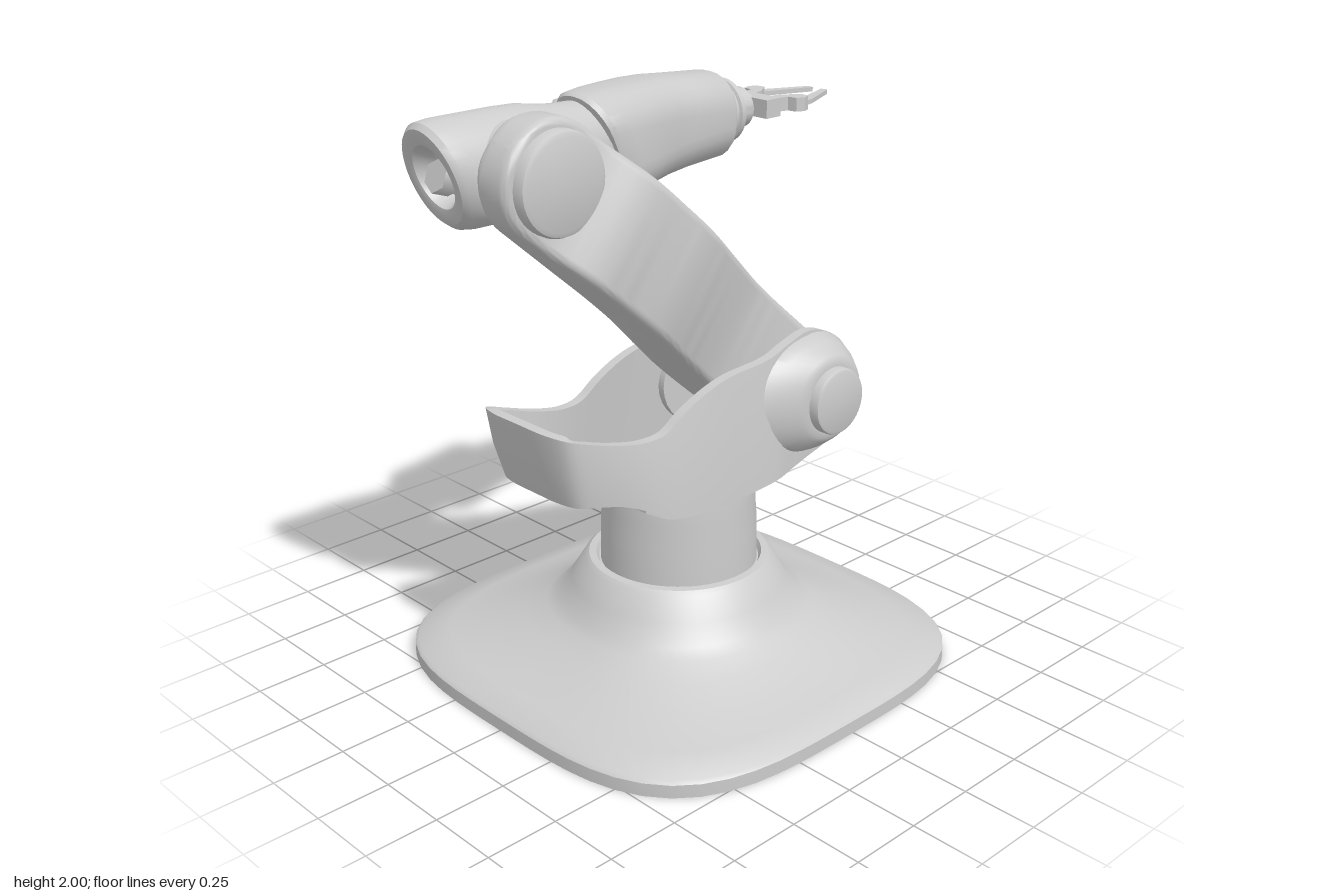
import * as THREE from 'three';
import { toCreasedNormals } from 'three/addons/utils/BufferGeometryUtils.js';

const V = (x, y, z) => new THREE.Vector3(x, y, z);

// Skin closed rings of equal length, cap both ends, and keep faces outward
function loft(rings, crease = 0.6) {
  const n = rings[0].length, pts = rings.flat(), idx = [];
  for (let i = 0; i < rings.length - 1; i++) {
    for (let j = 0; j < n; j++) {
      const a = i * n + j, b = i * n + (j + 1) % n;
      idx.push(a, b, b + n, a, b + n, a + n);
    }
  }
  const cap = (start, flip) => {
    const c = V(0, 0, 0);
    for (let j = 0; j < n; j++) c.addScaledVector(pts[start + j], 1 / n);
    const k = pts.push(c) - 1;
    for (let j = 0; j < n; j++) {
      const a = start + j, b = start + (j + 1) % n;
      idx.push(k, flip ? b : a, flip ? a : b);
    }
  };
  cap(0, true);
  cap((rings.length - 1) * n, false);
  let volume = 0;
  for (let i = 0; i < idx.length; i += 3) {
    volume += pts[idx[i]].dot(V(0, 0, 0).crossVectors(pts[idx[i + 1]], pts[idx[i + 2]]));
  }
  if (volume < 0) idx.reverse();
  const g = new THREE.BufferGeometry().setFromPoints(pts);
  g.setIndex(idx);
  return toCreasedNormals(g, crease);
}

// Turned solid about y; rows are [radius, y, squareness]
function turned(rows, seg = 48, crease = 0.6) {
  return loft(rows.map(([r, y, e = 2]) => Array.from({ length: seg }, (_, j) => {
    const a = (j / seg) * Math.PI * 2, c = Math.cos(a), s = Math.sin(a);
    const k = r / Math.pow(Math.abs(c) ** e + Math.abs(s) ** e, 1 / e);
    return V(c * k, y, s * k);
  })), crease);
}

// Rounded disc along x
const disc = (r, x0, x1, b = 0.012) =>
  turned([[r, x0], [r, x1 - b], [r - b * 0.3, x1 - b * 0.3], [r - b, x1]]).rotateZ(-Math.PI / 2);

// Outline of a rounded rectangle as [x, y] pairs
function roundRect(hw, hh, radius, k = 6) {
  const r = Math.min(radius, hw, hh), out = [];
  [[1, 1], [-1, 1], [-1, -1], [1, -1]].forEach(([sx, sy], q) => {
    for (let i = 0; i <= k; i++) {
      const a = (q + i / k) * Math.PI / 2;
      out.push([sx * (hw - r) + r * Math.cos(a), sy * (hh - r) + r * Math.sin(a)]);
    }
  });
  return out;
}

export function createModel() {
  const model = new THREE.Group();
  const mat = new THREE.MeshStandardMaterial({ color: 0xcccccc });
  const add = (name, geo, x = 0, y = 0, z = 0) => {
    const m = new THREE.Mesh(geo, mat);
    m.name = name;
    m.position.set(x, y, z);
    model.add(m);
    return m;
  };

  // Flared base, blending from a rounded square to a round neck
  add('base', turned([
    [0.8, 0, 3.5], [0.8, 0.045, 3.5], [0.79, 0.056, 3.5], [0.7, 0.08, 3.3], [0.6, 0.113, 3],
    [0.5, 0.16, 2.6], [0.44, 0.197, 2.3], [0.41, 0.225, 2.1], [0.37, 0.29], [0.325, 0.365],
    [0.31, 0.378], [0.285, 0.38], [0.275, 0.36],
  ], 64), 0, 0, 0.015);
  add('column', turned([[0.27, 0.34], [0.268, 0.5], [0.262, 0.58], [0.262, 0.64], [0.255, 0.69]]), 0, 0, 0.015);

  // Cradle wall swept round the front: [bottom x, y, z, top x, y, z]
  const half = [
    [0.18, 0.86, -0.635, 0.17, 0.95, -0.64], [0.195, 0.75, -0.6, 0.185, 1.03, -0.6],
    [0.205, 0.69, -0.5, 0.195, 1.1, -0.5], [0.215, 0.67, -0.4, 0.2, 1.125, -0.4],
    [0.235, 0.66, -0.3, 0.205, 1.105, -0.3], [0.26, 0.655, -0.2, 0.215, 1.08, -0.2],
    [0.27, 0.65, 0, 0.225, 1.07, 0], [0.268, 0.65, 0.12, 0.225, 1.045, 0.1],
    [0.26, 0.655, 0.22, 0.222, 1, 0.2], [0.247, 0.67, 0.3, 0.22, 0.95, 0.28],
    [0.232, 0.715, 0.37, 0.215, 0.943, 0.36], [0.217, 0.755, 0.46, 0.213, 0.965, 0.47],
    [0.205, 0.778, 0.55, 0.212, 1, 0.58], [0.18, 0.787, 0.615, 0.2, 1.03, 0.665],
    [0.11, 0.79, 0.638, 0.13, 1.038, 0.695], [0, 0.79, 0.64, 0, 1.04, 0.7],
  ];
  const stations = [...half, ...half.slice(0, -1).reverse().map(s => [-s[0], s[1], s[2], -s[3], s[4], s[5]])];
  const low = new THREE.CatmullRomCurve3(stations.map(s => V(s[0], s[1], s[2])));
  const high = new THREE.CatmullRomCurve3(stations.map(s => V(s[3], s[4], s[5])));
  const wall = [];
  for (let i = 0; i <= 120; i++) {
    const t = i / 120, b = low.getPoint(t), h = high.getPoint(t), d = high.getTangent(t);
    const inward = V(-d.z, 0, d.x).normalize();
    const off = (p, k) => p.clone().addScaledVector(inward, k);
    const mid = b.clone().lerp(h, 0.5);
    wall.push([b, off(mid, -0.008), off(h, 0), off(h, 0.035), off(mid, 0.042), off(b, 0.05)]);
  }
  add('cradleWall', loft(wall));

  // Cradle floor, stopping short of the front wall to leave the slot
  const floor = [
    [-0.59, 0.16, 0.75], [-0.55, 0.18, 0.71], [-0.45, 0.19, 0.68], [-0.35, 0.2, 0.66], [-0.2, 0.24, 0.652],
    [0, 0.255, 0.65], [0.2, 0.245, 0.652], [0.3, 0.225, 0.665], [0.35, 0.2, 0.69],
  ];
  add('cradleFloor', loft(floor.map(([z, w, y]) =>
    [V(-w, y, z), V(w, y, z), V(w, y + 0.04, z), V(-w, y + 0.04, z)])));

  // Shoulder housings and their pivot caps on both sides
  for (const side of [1, -1]) {
    const rows = [[0.17, 0.215, 1.6], [0.2, 0.213, 1.6], [0.245, 0.19, 1.4], [0.29, 0.155, 1.05], [0.3, 0.14, 1], [0.302, 0.12, 1]];
    const housing = rows.map(([x, r, stretch]) => Array.from({ length: 40 }, (_, j) => {
      const a = (j / 40) * Math.PI * 2, c = Math.cos(a);
      return V(side * x, r * Math.sin(a), r * c * (c > 0 ? stretch : 1));
    }));
    add('shoulderHousing', loft(housing), 0, 0.9, -0.42);
    const cap = add('shoulderCap', disc(0.117, 0.28, 0.34), 0, 0.9, -0.42);
    if (side < 0) cap.rotation.y = Math.PI;
  }

  // Upper arm: round-ended bar that shifts sideways along its length
  const A = V(0, 0.9, -0.42), B = V(0, 1.81, 0.63), R = 0.19, L = A.distanceTo(B);
  const dir = B.clone().sub(A).normalize(), up = V(0, dir.z, -dir.y);
  const bounds = new THREE.CubicInterpolant(
    [-0.2, 0, 0.28, 0.45, 0.58, 0.7, 0.82, 0.95, 1.2],
    new Float32Array([-0.14, 0.135, -0.14, 0.135, -0.135, 0.14, -0.075, 0.19, -0.02, 0.23,
      0, 0.235, 0, 0.225, 0, 0.15, 0, 0.14]), 2);
  const stops = [];
  for (let i = 0; i <= 16; i++) stops.push(-R * Math.cos((0.03 + 0.97 * i / 16) * Math.PI / 2));
  for (let i = 1; i < 36; i++) stops.push(L * i / 36);
  for (let i = 16; i >= 0; i--) stops.push(L + R * Math.cos((0.03 + 0.97 * i / 16) * Math.PI / 2));
  add('upperArm', loft(stops.map(s => {
    const [lo, hi] = bounds.evaluate(s / L);
    const over = Math.max(-s, s - L, 0), h = Math.sqrt(R * R - over * over);
    const f = 0.03, e = Math.min(f, R - over), trim = f - Math.sqrt(f * f - (f - e) ** 2);
    return roundRect((hi - lo) / 2 - trim, h, f).map(([x, y]) =>
      A.clone().addScaledVector(dir, s).addScaledVector(up, y).add(V((lo + hi) / 2 + x, 0, 0)));
  })));
  add('elbowCap', disc(0.16, 0.12, 0.18, 0.02), 0, 1.81, 0.63);
  add('elbowPin', disc(0.15, -0.08, 0.02), 0, 1.81, 0.63);

  // Elbow body with slanted, dished front: [z, half width, half height, slant]
  const elbow = [
    [0.08, 0.11, 0.13, 0], [0.32, 0.122, 0.15, 0], [0.4, 0.124, 0.153, 0], [0.46, 0.13, 0.16, 0],
    [0.52, 0.142, 0.172, 0.05], [0.6, 0.146, 0.175, 0.1], [0.79, 0.145, 0.174, 0.3], [0.835, 0.139, 0.168, 0.33],
    [0.855, 0.125, 0.15, 0.33], [0.857, 0.108, 0.125, 0.33], [0.85, 0.09, 0.1, 0.33], [0.79, 0.065, 0.07, 0.33],
  ];
  add('elbowBody', loft(elbow.map(([z, w, h, k]) => Array.from({ length: 40 }, (_, j) => {
    const a = (j / 40) * Math.PI * 2, y = h * Math.sin(a);
    return V(w * Math.cos(a), y, z + k * y);
  }))), -0.155, 1.81, 0);
  add('elbowHub', new THREE.CylinderGeometry(0.052, 0.052, 0.06, 6).rotateX(Math.PI / 2 - 0.32), -0.155, 1.805, 0.815);

  // Forearm: [z, centre x, half width, half height, slant]
  const forearm = [
    [0.25, -0.155, 0.115, 0.14, 0.45], [0.245, -0.155, 0.13, 0.163, 0.45], [0.225, -0.158, 0.139, 0.172, 0.45],
    [0.16, -0.172, 0.147, 0.174, 0.4], [0.08, -0.195, 0.152, 0.172, 0.25], [0, -0.219, 0.153, 0.169, 0.1],
    [-0.08, -0.234, 0.148, 0.165, 0], [-0.18, -0.24, 0.142, 0.157, 0], [-0.345, -0.24, 0.139, 0.146, 0],
    [-0.358, -0.24, 0.134, 0.14, 0], [-0.36, -0.24, 0.12, 0.125, 0],
  ];
  add('forearm', loft(forearm.map(([z, cx, w, h, k]) =>
    roundRect(w, h, 0.12).map(([x, y]) => V(cx + x, 1.81 + y, z + k * y)))));

  // Teardrop side guard with a round recess
  const guard = new THREE.Shape();
  guard.absarc(0, 0, 0.118, Math.PI / 2, Math.PI * 1.5, false);
  guard.bezierCurveTo(0.15, -0.118, 0.24, -0.11, 0.3, -0.05);
  guard.bezierCurveTo(0.37, 0.02, 0.38, 0.09, 0.36, 0.11);
  guard.lineTo(0, 0.118);
  guard.holes.push(new THREE.Path().absarc(0, 0, 0.078, 0, Math.PI * 2, true));
  const guardGeo = new THREE.ExtrudeGeometry(guard, {
    depth: 0.05, bevelSize: 0.008, bevelThickness: 0.008, bevelSegments: 2, curveSegments: 24,
  }).rotateY(-Math.PI / 2);
  add('sideGuard', guardGeo, -0.353, 1.81, -0.125).rotation.y = 0.19;

  // Stepped wrist
  add('wrist', turned([
    [0.09, 0.34], [0.09, 0.372], [0.104, 0.372], [0.11, 0.378], [0.11, 0.395], [0.1, 0.4], [0.1, 0.405],
    [0.11, 0.41], [0.11, 0.428], [0.104, 0.434], [0.07, 0.434], [0.07, 0.505], [0.064, 0.511],
    [0.045, 0.511], [0.045, 0.54],
  ]).rotateX(-Math.PI / 2), -0.24, 1.81, 0);

  // Gripper palm and mirrored fingers, drawn from above
  add('palm', new THREE.BoxGeometry(0.22, 0.064, 0.07), -0.24, 1.812, -0.562);
  const plate = (pts, t) => new THREE.ExtrudeGeometry(new THREE.Shape(pts.map(p => new THREE.Vector2(...p))),
    { depth: t, bevelEnabled: false }).rotateX(-Math.PI / 2).translate(0, -t / 2, 0);
  for (const s of [1, -1]) {
    const m = pts => pts.map(([x, d]) => [s * x, d]);
    add('knuckle', plate(m([[0.025, 0.59], [0.075, 0.59], [0.09, 0.655], [0.125, 0.66], [0.138, 0.69],
      [0.125, 0.72], [0.09, 0.725], [0.05, 0.67]]), 0.048), -0.24, 1.812, 0);
    add('fingertip', plate(m([[0.09, 0.71], [0.128, 0.71], [0.118, 0.75], [0.045, 0.91], [0.02, 0.905], [0.08, 0.74]]),
      0.016), -0.24, 1.812, 0);
  }
  return model;
}
